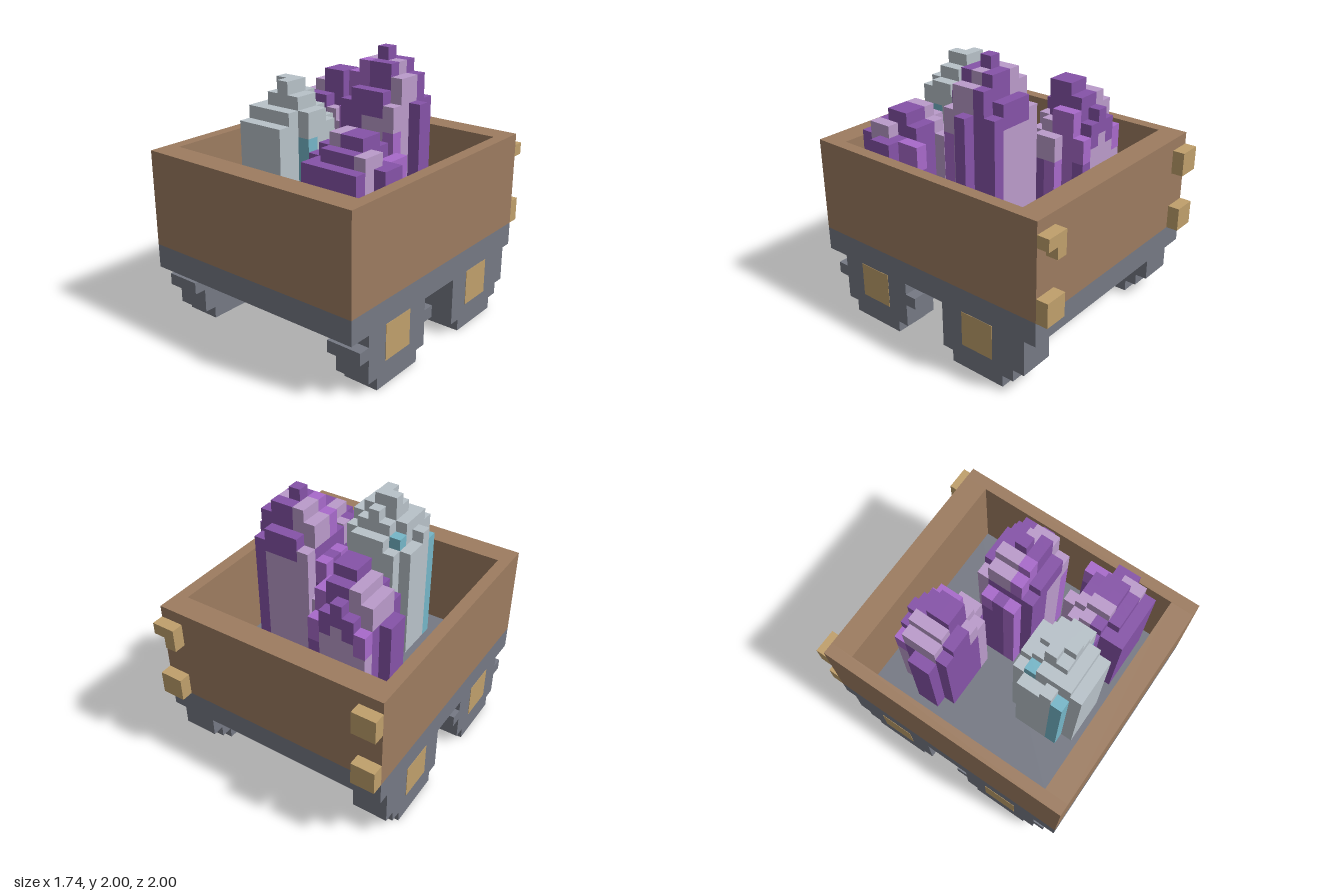
import * as THREE from 'three';
import { mergeGeometries } from 'three/addons/utils/BufferGeometryUtils.js';

const V = 2 / 23; // size of one block

const mat = (name, color) => {
  const m = new THREE.MeshStandardMaterial({ color });
  m.name = name;
  return m;
};

const wood = mat('brown wood', 0x9d7c60);
const iron = mat('grey iron', 0x757984);
const brass = mat('brass', 0xc0a06c);
const gems = {
  d: mat('deep purple', 0x8653a8),
  b: mat('bright purple', 0xa86acb),
  l: mat('pale lilac', 0xbb9bcb),
  w: mat('pale silver', 0xb8c2c9),
  t: mat('teal', 0x75b6c8),
};

// Box between two corners given in blocks (x 0..20, y 0..23, z 0..23)
function block(x0, x1, y0, y1, z0, z1) {
  const g = new THREE.BoxGeometry((x1 - x0) * V, (y1 - y0) * V, (z1 - z0) * V);
  g.translate(((x0 + x1) / 2 - 10) * V, (y0 + y1) / 2 * V, (z0 + z1) / 2 * V - 1);
  return g;
}

function part(parent, name, material, ...boxes) {
  const geos = boxes.map((b) => block(...b));
  const mesh = new THREE.Mesh(mergeGeometries(geos), material);
  mesh.name = name;
  parent.add(mesh);
}

// Crystal columns: heights are blocks above row 14, cap colours the top two
// blocks of a column and body the rest
function crystal(parent, name, x0, z0, heights, cap, body) {
  const group = new THREE.Group();
  group.name = name;
  const boxes = {};
  const add = (c, b) => (boxes[c] ??= []).push(b);
  heights.forEach((row, k) => [...row].forEach((h, i) => {
    if (h === '.') return;
    const x = x0 + i, z = z0 + k, top = 14 + Number(h);
    add(cap[k][i], [x, x + 1, top - 2, top, z, z + 1]);
    add(body[k][i], [x, x + 1, 7, top - 2, z, z + 1]);
  }));
  for (const c in boxes) part(group, `${name} ${gems[c].name}`, gems[c], ...boxes[c]);
  parent.add(group);
}

export function createModel() {
  const cart = new THREE.Group();
  cart.name = 'crystalCart';

  // Chassis slab and axle beams
  part(cart, 'chassis', iron, [0, 20, 5, 7, 1, 23]);
  part(cart, 'rearAxle', iron, [3, 17, 2, 5, 5, 8]);
  part(cart, 'frontAxle', iron, [3, 17, 2, 5, 16, 19]);

  // Open wooden box
  part(cart, 'boxWalls', wood,
    [0, 1, 7, 15, 1, 23], [19, 20, 7, 15, 1, 23],
    [1, 19, 7, 15, 1, 3], [1, 19, 7, 15, 21, 23]);

  // Wheels with thin hub plates
  for (const [side, a, b, p, q] of [['left', 17, 20, 20, 20.03], ['right', 0, 3, -0.03, 0]]) {
    part(cart, `${side}FrontWheel`, iron,
      [a, b, 0, 1, 15, 20], [a, b, 1, 3, 14, 21], [a, b, 3, 4, 13, 22], [a, b, 4, 5, 14, 21]);
    part(cart, `${side}RearWheel`, iron,
      [a, b, 0, 1, 4, 9], [a, b, 1, 2, 3, 10], [a, b, 2, 5, 2, 10]);
    part(cart, `${side}FrontHub`, brass, [p, q, 2, 5, 16, 19]);
    part(cart, `${side}RearHub`, brass, [p, q, 2, 5, 5, 8]);
  }

  // Brackets on the back; the upper left one is notched
  part(cart, 'lowerBrackets', brass, [0, 2, 7, 9, 0, 1], [18, 20, 7, 9, 0, 1]);
  part(cart, 'upperRightBracket', brass, [0, 2, 12, 14, 0, 1]);
  part(cart, 'upperLeftBracket', brass, [18, 20, 13, 14, 0, 1], [18, 19, 12, 13, 0, 1]);

  // Crystals, rows running from back to front
  crystal(cart, 'backCrystal', 3, 5,
    ['.23432.', '.45554.', '2456642', '2456632', '.34432.'],
    ['.bdddb.', '.llddb.', 'dllddbl', 'dllddll', '.dddll.'],
    ['.lllld.', '.ddddb.', 'ddddddb', 'ddddddd', '.ddddl.']);
  crystal(cart, 'tallCrystal', 10, 8,
    ['.56665.', '478887.', '4789875', '478887.', '.56665.'],
    ['.ldddd.', 'blldddd', 'dlldlld', 'bbbddl.', '.ddddl.'],
    ['.lllld.', 'dddddd.', 'ddddddd', 'bdddll.', '.ddllb.']);
  crystal(cart, 'smallCrystal', 12, 14,
    ['..2..2.', '.23332.', '.344422', '2344432', '.23333.', '.22222.'],
    ['..l..b.', '.llddb.', '.lldddd', 'ddlddld', '.ddddl.', '.ddddd.'],
    ['..l..d.', '.ddddd.', '.dddddd', 'ddddddd', '.ddddl.', '.ddddd.']);
  crystal(cart, 'silverCrystal', 6, 14,
    ['.3444.', '345654', '357765', '456765', '35555.', '.4444.'],
    ['.wwww.', 'wtwwww', 'wwwwww', 'wwwwww', 'twwww.', '.wwww.'],
    ['.wwww.', 'wtwwww', 'wwwwww', 'wwwwwt', 'twwww.', '.wwww.']);

  return cart;
}
